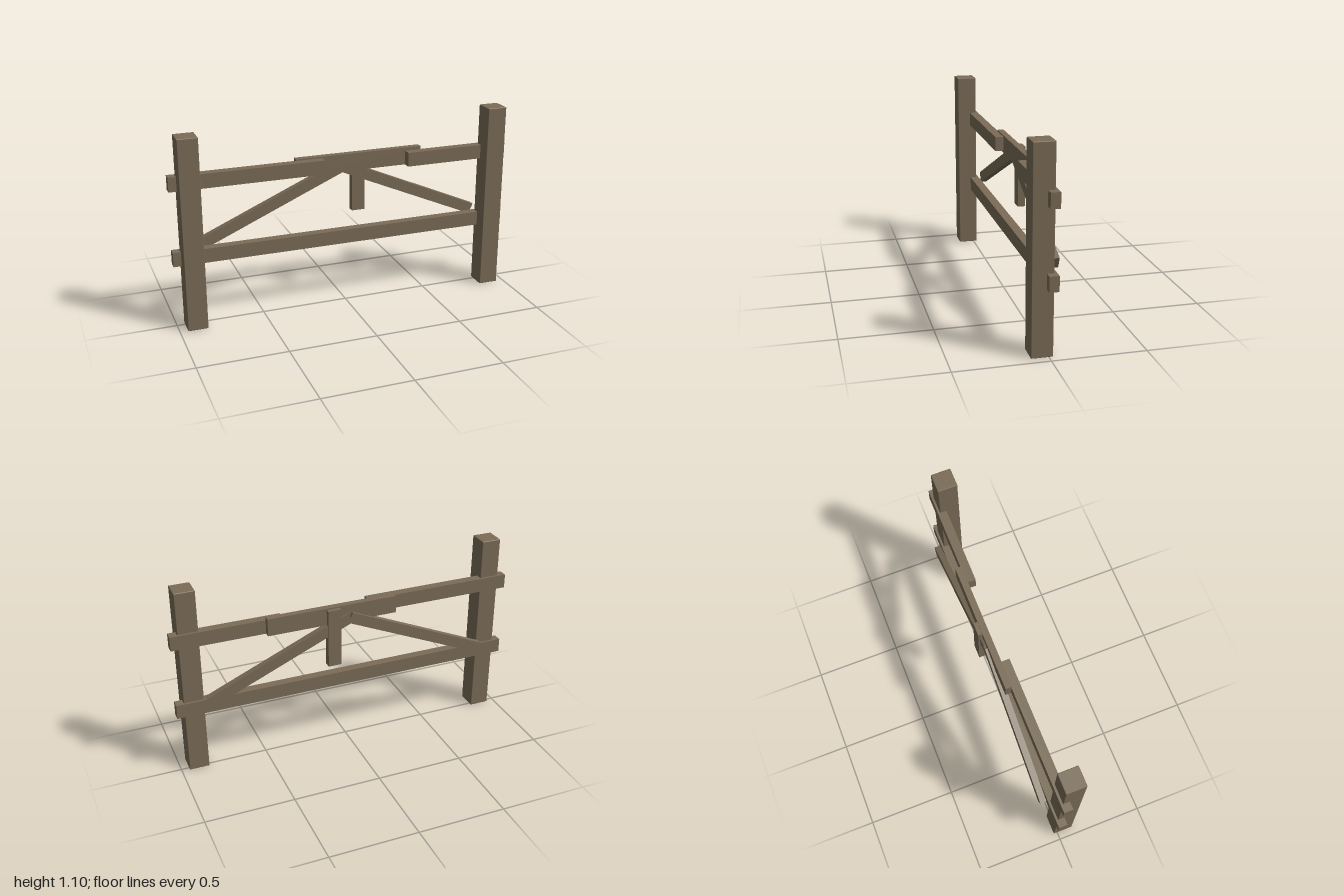
import * as THREE from 'three';
import { RoundedBoxGeometry } from 'three/addons/geometries/RoundedBoxGeometry.js';

export function createModel() {
  const group = new THREE.Group();
  group.name = 'woodenFence';
  const wood = new THREE.MeshStandardMaterial({ color: 0x7b6c57 });
  wood.name = 'weatheredWood';

  // Plank from its min and max extents; a bevel softens its edges
  function plank(name, [x0, x1], [y0, y1], [z0, z1], bevel = 0) {
    const size = [x1 - x0, y1 - y0, z1 - z0];
    const geometry = bevel
      ? new RoundedBoxGeometry(...size, 1, bevel)
      : new THREE.BoxGeometry(...size);
    const mesh = new THREE.Mesh(geometry, wood);
    mesh.name = name;
    mesh.position.set((x0 + x1) / 2, (y0 + y1) / 2, (z0 + z1) / 2);
    group.add(mesh);
    return mesh;
  }

  // Posts
  plank('leftPost', [0.842, 0.956], [0, 1.098], [-0.022, 0.093], 0.004);
  plank('rightPost', [-0.956, -0.842], [0, 1.098], [-0.022, 0.093], 0.004);

  // Rails: one whole below, a broken pair above
  const railZ = [-0.035, 0.016];
  plank('lowerRail', [-1, 1], [0.361, 0.443], railZ);
  plank('upperRailLeft', [0.38, 1], [0.78, 0.862], railZ);
  plank('upperRailRight', [-1, -0.125], [0.791, 0.873], railZ);

  // Repair board across the gap and the short hanging board
  plank('spliceBoard', [-0.28, 0.476], [0.78, 0.881], [-0.068, -0.031]);
  plank('hangingBoard', [0.06, 0.137], [0.53, 0.873], [-0.092, -0.05]);

  // Diagonal braces meeting at the middle, mirrored
  const angle = 0.41, width = 0.064;
  const c = Math.cos(angle), s = Math.sin(angle);
  const start = [-0.013, 0.776], length = 0.829 / c;
  for (const side of [1, -1]) {
    const brace = plank(side > 0 ? 'leftBrace' : 'rightBrace',
      [0, length], [0, width], [-0.082, -0.046]);
    brace.position.x = side * (start[0] + (length * c + width * s) / 2);
    brace.position.y = start[1] + (width * c - length * s) / 2;
    brace.rotation.z = -side * angle;
  }

  return group;
}
